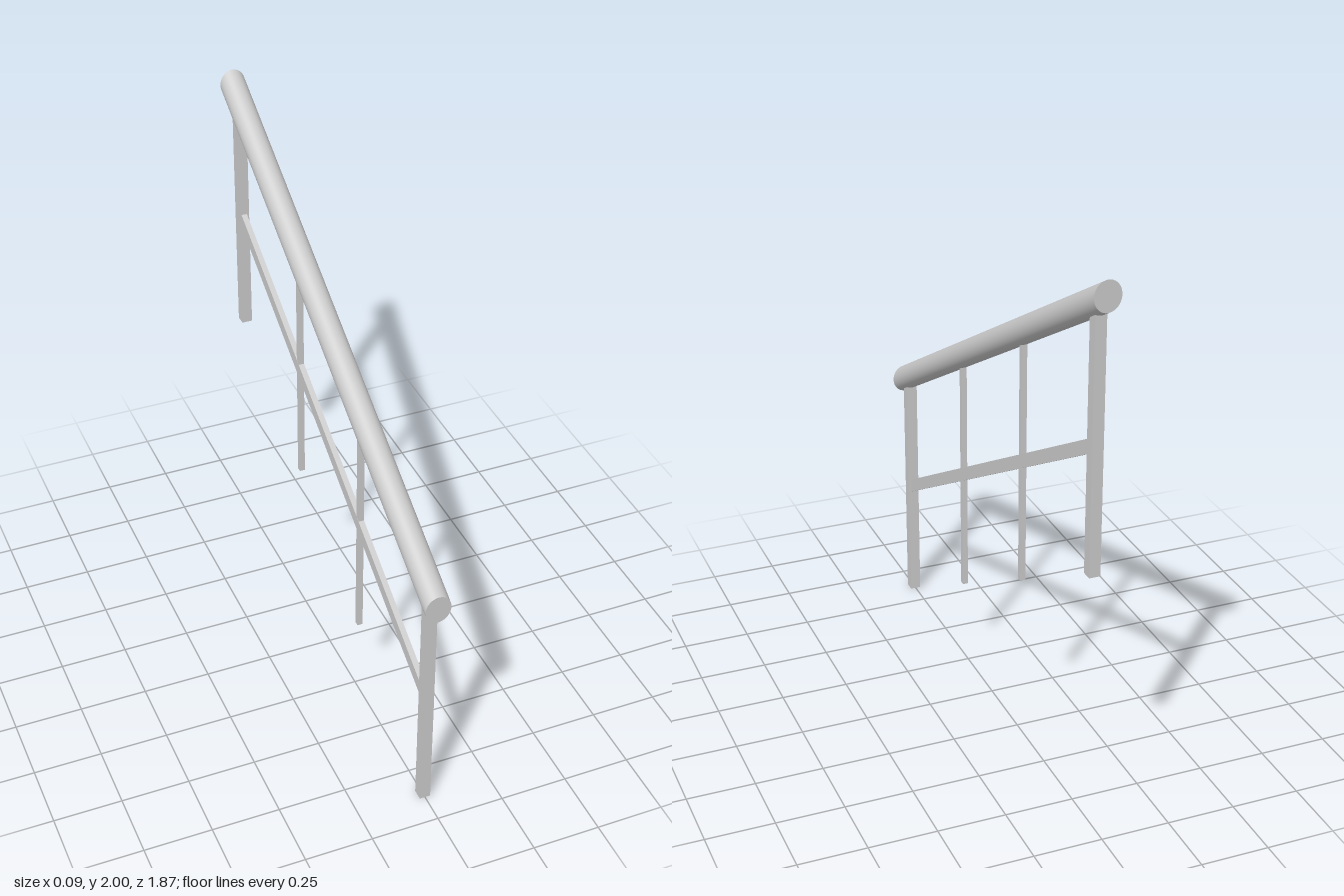
import * as THREE from 'three';

const SLOPE = 0.551; // rise per unit of run towards -z
const POST_Z = 0.87;

export function createModel() {
  const group = new THREE.Group();
  const material = new THREE.MeshStandardMaterial({ color: 0xcccccc });

  const add = (name, geometry, y, z = 0) => {
    const mesh = new THREE.Mesh(geometry, material);
    mesh.name = name;
    mesh.position.set(0, y, z);
    group.add(mesh);
  };

  // Shear along the stair slope, keeping the ends plumb
  const pitch = new THREE.Matrix4().set(
    1, 0, 0, 0,
    0, 1, -SLOPE, 0,
    0, 0, 1, 0,
    0, 0, 0, 1
  );

  // Round handrail with vertically cut ends
  const rail = new THREE.CylinderGeometry(0.047, 0.047, 1.87, 40);
  rail.rotateX(Math.PI / 2).scale(1, 0.054 / 0.047, 1).applyMatrix4(pitch);
  add('handrail', rail, 1.431);

  // Flat middle rail between the end posts
  add('middleRail', new THREE.BoxGeometry(0.021, 0.054, 1.7).applyMatrix4(pitch), 0.945);

  // Uprights: each foot follows the slope, each top is buried in the handrail
  const addUpright = (name, size, z) => {
    const height = 0.92;
    const foot = (POST_Z - z) * SLOPE;
    add(name, new THREE.BoxGeometry(size, height, size), foot + height / 2, z);
  };
  addUpright('frontPost', 0.04, POST_Z);
  addUpright('backPost', 0.04, -POST_Z);
  addUpright('frontBaluster', 0.02, 0.283);
  addUpright('backBaluster', 0.02, -0.283);

  return group;
}
